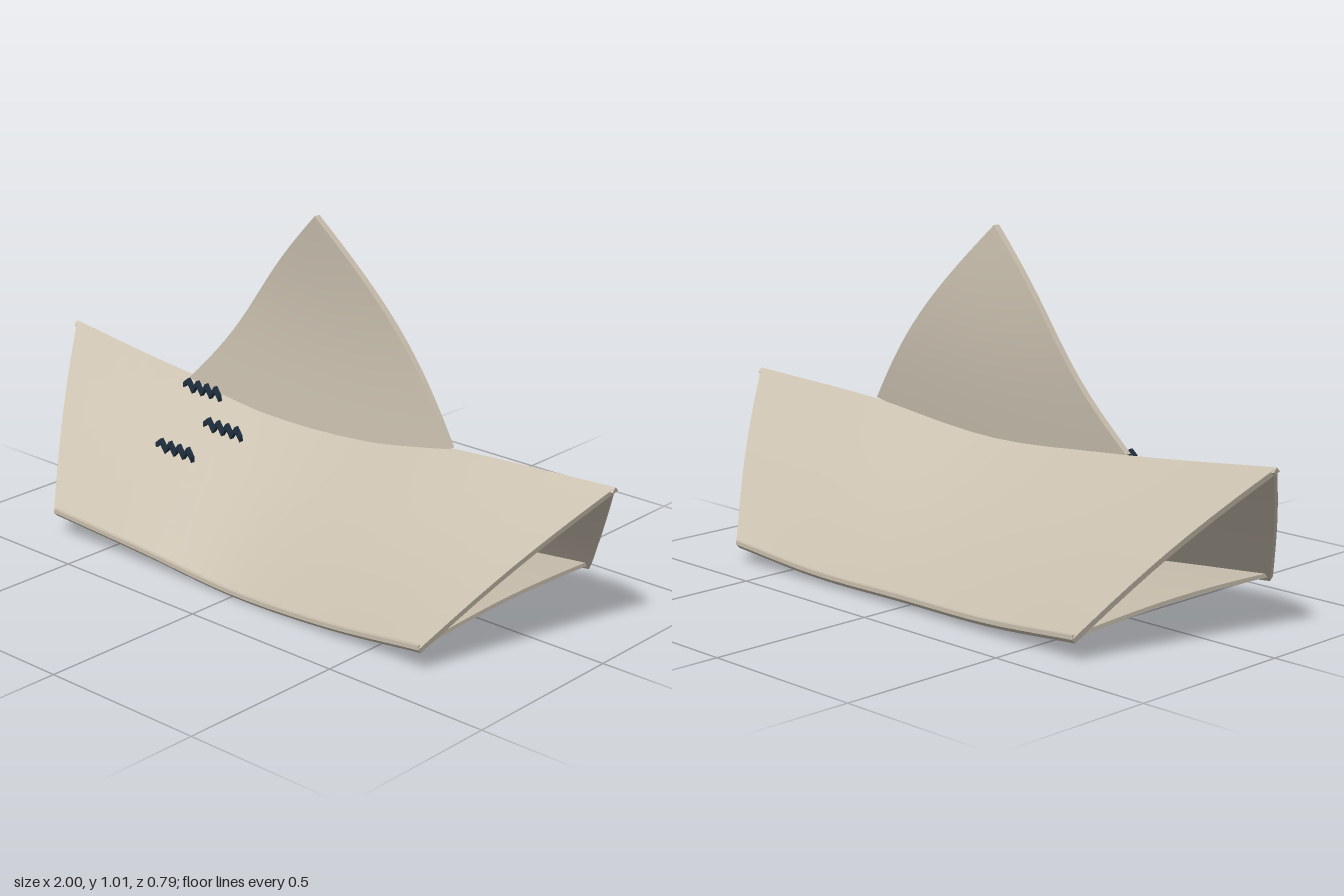
import * as THREE from 'three';

const paper = new THREE.MeshStandardMaterial({ name: 'paperBeige', color: 0xc9bfae });
const ink = new THREE.MeshStandardMaterial({ name: 'inkNavy', color: 0x1f2f40 });

const V = (p) => new THREE.Vector3(...p);
const curve = (pts) => new THREE.CatmullRomCurve3(pts.map(V));

// Thin curved sheet: a subdivided box whose vertices follow rule(u, v); inward gives its thickness
function sheet(name, rule, inward, nu = 20, nv = 10) {
  const g = new THREE.BoxGeometry(1, 1, 1, nu, nv, 1);
  const pos = g.attributes.position;
  for (let i = 0; i < pos.count; i++) {
    const p = rule(pos.getX(i) + 0.5, pos.getY(i) + 0.5);
    p.addScaledVector(inward, 0.5 - pos.getZ(i));
    pos.setXYZ(i, p.x, p.y, p.z);
  }
  g.computeVertexNormals();
  const mesh = new THREE.Mesh(g, paper);
  mesh.name = name;
  return mesh;
}

// Sheet spanning two edge curves, with a gentle bow between them
function panel(name, low, high, bow, inward, flip = false) {
  return sheet(name, (u, v) => {
    const t = flip ? 1 - u : u;
    return low.getPoint(t).lerp(high.getPoint(t), v).addScaledVector(bow, Math.sin(Math.PI * v));
  }, inward);
}

// Zigzag mark standing on the front panel
function zigzag(x, y, z) {
  const top = [], bottom = [];
  for (let i = 0; i < 9; i++) {
    const px = -0.072 + i * 0.018;
    const py = i === 0 ? -0.002 : (i % 2 ? 0.013 : -0.013);
    top.push(new THREE.Vector2(px, py + 0.008));
    bottom.unshift(new THREE.Vector2(px, py - 0.008));
  }
  const g = new THREE.ExtrudeGeometry(new THREE.Shape([...top, ...bottom]), { depth: 0.014, bevelEnabled: false });
  g.translate(x, y, z - 0.007);
  const mesh = new THREE.Mesh(g, ink);
  mesh.name = 'zigzagMark';
  return mesh;
}

export function createModel() {
  const boat = new THREE.Group();
  boat.name = 'paperBoat';

  // Shared folds of the triangular hull
  const ridge = curve([[-1, 0.49, -0.01], [-0.5, 0.438, 0], [0, 0.41, 0], [0.5, 0.452, -0.01], [1, 0.475, -0.022]]);
  const frontFold = curve([[-0.68, 0.066, 0.39], [-0.34, 0.038, 0.375], [0, 0.005, 0.36], [0.35, 0.018, 0.362], [0.69, 0.062, 0.375]]);
  const backFold = curve([[-0.67, 0.055, -0.4], [-0.34, 0.026, -0.387], [0, 0.02, -0.38], [0.34, 0.021, -0.388], [0.67, 0.047, -0.398]]);

  boat.add(panel('frontPanel', frontFold, ridge, V([0, 0.012, 0.01]), V([0, -0.012, -0.012])));
  boat.add(panel('backPanel', backFold, ridge, V([0, 0.014, -0.012]), V([0, -0.012, 0.012]), true));
  boat.add(panel('bottomPanel', backFold, frontFold, V([0, 0.014, 0]), V([0, 0.012, 0])));

  // Sail: narrows from a sagging base to a point, slightly wavy
  boat.add(sheet('sail', (u, v) => {
    const left = -0.48 * (1 - v) + 0.013 * Math.sin(2 * Math.PI * v);
    const right = 0.485 * (1 - v) + 0.036 * Math.sin(Math.PI * v);
    const base = 0.435 + 0.02 * u - 0.055 * Math.sin(Math.PI * u);
    const z = 0.01 + 0.008 * (1 - v) - 0.02 * Math.sin(Math.PI * v) - 0.016 * (u - 0.5) * (1 - v);
    return new THREE.Vector3(left + (right - left) * u, base + (1.005 - base) * v, z);
  }, V([0, 0, -0.02]), 16, 16));

  // Ink marks
  for (const [x, y, z] of [[-0.408, 0.422, 0.045], [-0.267, 0.351, 0.105], [-0.382, 0.281, 0.184]]) {
    boat.add(zigzag(x, y, z));
  }
  return boat;
}
